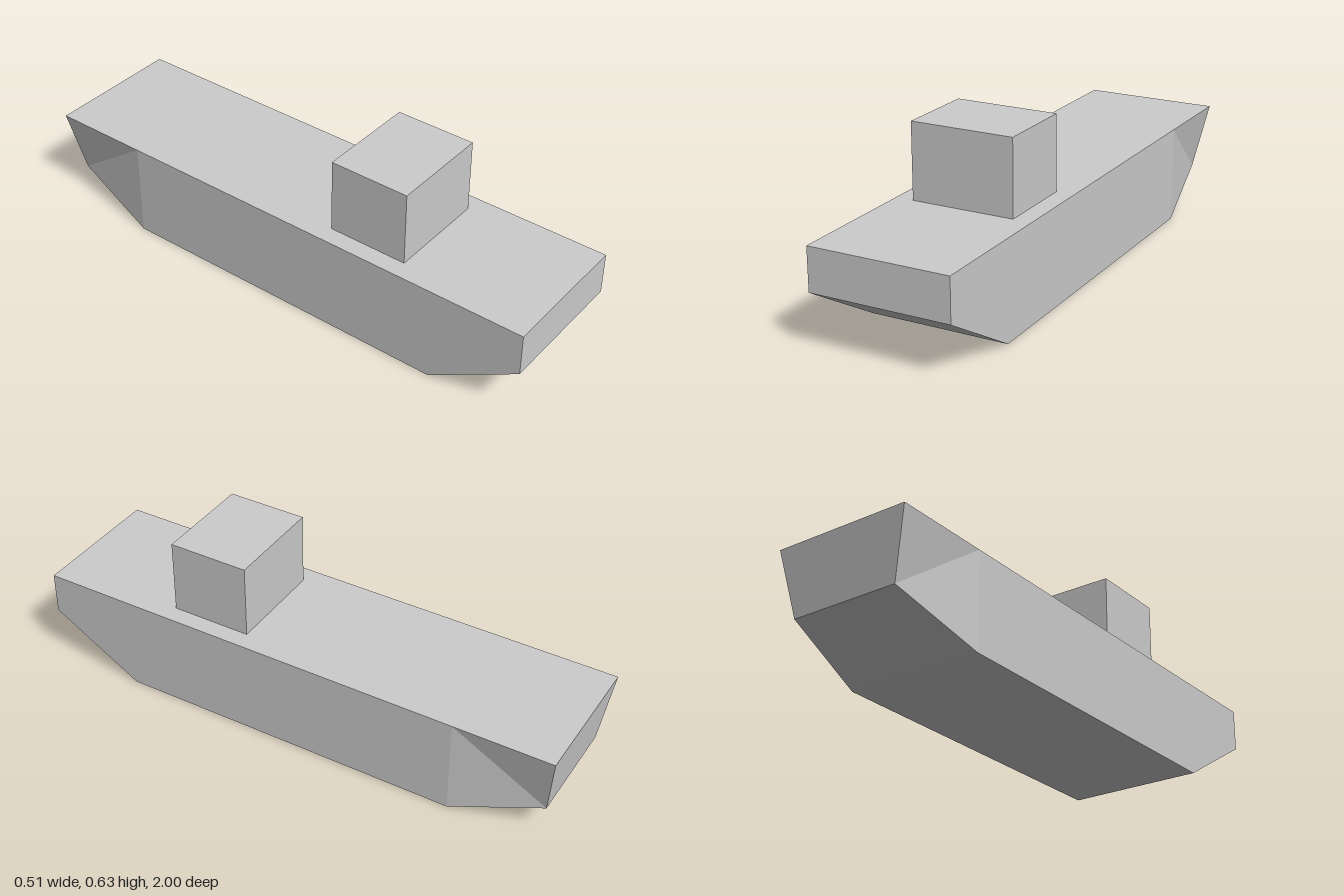
import * as THREE from 'three';

const DECK = 0.358, HALF = 0.256;
const material = new THREE.MeshStandardMaterial({ color: 0xcccccc, flatShading: true, side: THREE.DoubleSide });

// Hull lofted through four-cornered cross-sections, bow to stern
function hullGeometry() {
  // [deck z, keel z, keel y, keel half width]
  const stations = [
    [1, 1, 0.202, HALF],
    [0.658, 0.658, 0, HALF],
    [-0.635, -0.635, 0, HALF],
    [-1, -0.968, 0.113, 0.203],
  ];
  const points = [], index = [];
  for (const [zt, zb, yb, w] of stations) {
    points.push(-w, yb, zb, w, yb, zb, HALF, DECK, zt, -HALF, DECK, zt);
  }
  const last = stations.length - 1;
  for (let i = 0; i < last; i++) {
    for (let j = 0; j < 4; j++) {
      const k = (j + 1) % 4;
      const a = i * 4 + j, b = i * 4 + k, c = b + 4, d = a + 4;
      // mirrored diagonals keep the two sides symmetric
      if (j === 3) index.push(a, d, c, a, c, b);
      else index.push(a, d, b, b, d, c);
    }
  }
  // bow and stern plates
  const e = last * 4;
  index.push(0, 1, 2, 0, 2, 3, e, e + 2, e + 1, e, e + 3, e + 2);

  const indexed = new THREE.BufferGeometry();
  indexed.setAttribute('position', new THREE.Float32BufferAttribute(points, 3));
  indexed.setIndex(index);
  const geometry = indexed.toNonIndexed();
  geometry.computeVertexNormals();
  return geometry;
}

export function createModel() {
  const group = new THREE.Group();
  group.name = 'boat';

  const hull = new THREE.Mesh(hullGeometry(), material);
  hull.name = 'hull';

  // Box cabin standing on the deck
  const height = 0.632 - DECK;
  const cabin = new THREE.Mesh(new THREE.BoxGeometry(0.378, height, 0.3), material);
  cabin.name = 'cabin';
  cabin.position.set(0, DECK + height / 2, 0.35);

  group.add(hull, cabin);
  return group;
}
